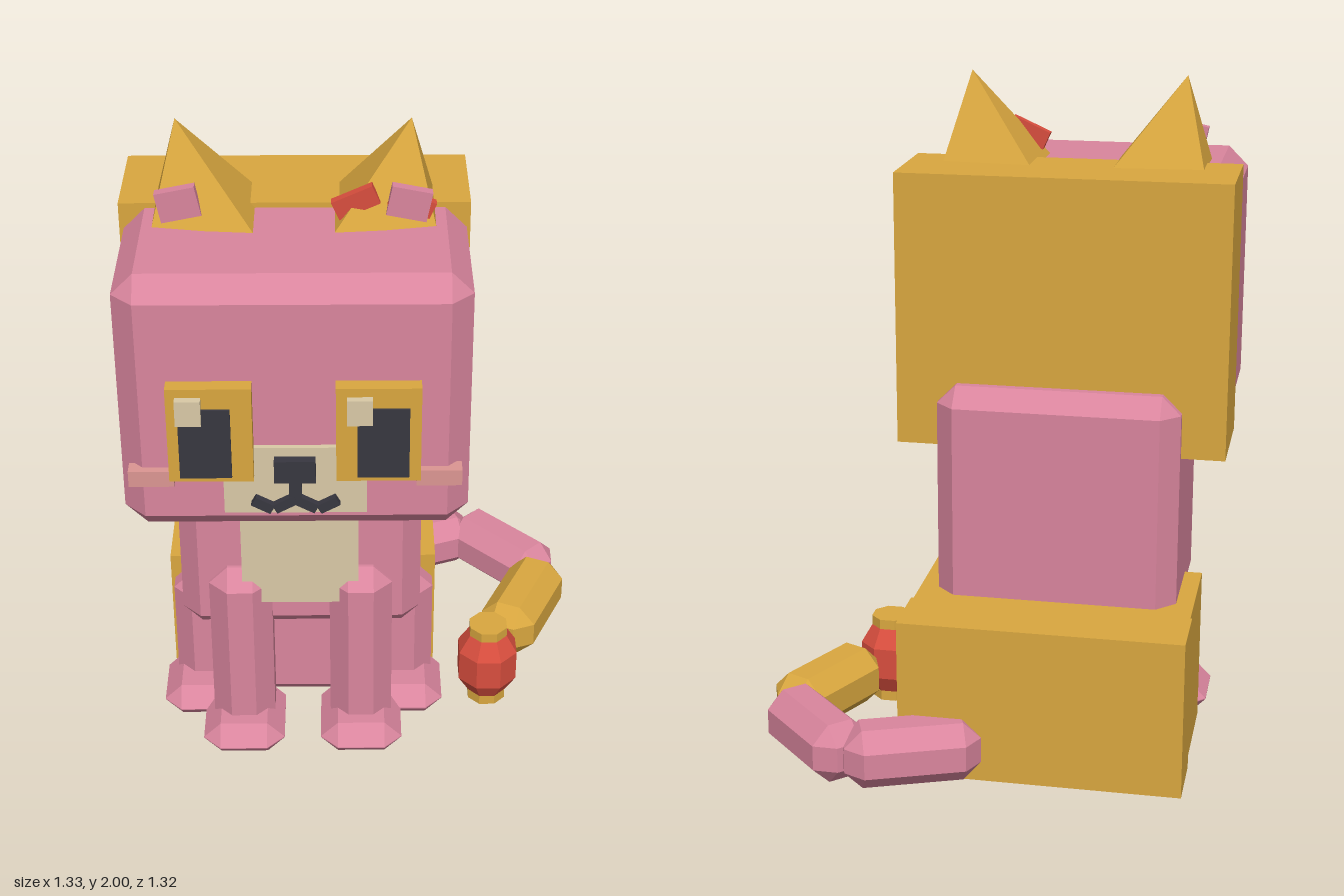
import * as THREE from 'three';
import { ConvexGeometry } from 'three/addons/geometries/ConvexGeometry.js';

const material = (name, color) => {
  const m = new THREE.MeshStandardMaterial({ color, flatShading: true });
  m.name = name;
  return m;
};

export function createModel() {
  const pink = material('pink fur', 0xd9859d);
  const gold = material('golden fur', 0xd9a73f);
  const cream = material('cream', 0xd9c9a6);
  const dark = material('charcoal', 0x383740);
  const blush = material('blush', 0xdc9692);
  const red = material('red', 0xd84e3e);

  const model = new THREE.Group();
  model.name = 'sittingCat';
  const MID = -0.19; // the cat's own plane of symmetry

  const add = (name, geometry, mat, x = 0, y = 0, z = 0) => {
    const mesh = new THREE.Mesh(geometry, mat);
    mesh.name = name;
    mesh.position.set(x, y, z);
    model.add(mesh);
    return mesh;
  };

  // Box given by its limits on each axis
  const box = (name, mat, [x0, x1], [y0, y1], [z0, z1]) =>
    add(name, new THREE.BoxGeometry(x1 - x0, y1 - y0, z1 - z0), mat,
      (x0 + x1) / 2, (y0 + y1) / 2, (z0 + z1) / 2);

  // Box with every edge cut off at 45 degrees
  const chamferGeometry = (w, h, d, c) => {
    const points = [];
    for (const sx of [-1, 1]) for (const sy of [-1, 1]) for (const sz of [-1, 1])
      for (let axis = 0; axis < 3; axis++) {
        const half = [w / 2, h / 2, d / 2].map((v, i) => (i === axis ? v : v - c));
        points.push(new THREE.Vector3(sx * half[0], sy * half[1], sz * half[2]));
      }
    return new ConvexGeometry(points);
  };
  const chamferBox = (name, mat, [x0, x1], [y0, y1], [z0, z1], c) =>
    add(name, chamferGeometry(x1 - x0, y1 - y0, z1 - z0, c), mat,
      (x0 + x1) / 2, (y0 + y1) / 2, (z0 + z1) / 2);

  // Head, body and hindquarters
  chamferBox('head', pink, [-0.66, 0.28], [0.965, 1.735], [0, 0.595], 0.06);
  box('headBack', gold, [-0.672, 0.29], [0.95, 1.75], [-0.163, 0.15]);
  chamferBox('body', pink, [-0.545, 0.165], [0.415, 1.14], [-0.242, 0.315], 0.055);
  box('chest', cream, [-0.36, -0.02], [0.55, 1.0], [0.28, 0.355]);
  chamferBox('haunches', pink, [-0.585, 0.21], [0.033, 0.485], [-0.43, 0.17], 0.055);
  box('hipCover', gold, [-0.597, 0.219], [0.042, 0.51], [-0.31, 0.065]);
  box('rumpCover', gold, [-0.603, 0.224], [0.04, 0.515], [-0.487, -0.296]);

  for (const side of [-1, 1]) {
    const label = side > 0 ? 'left' : 'right';
    const at = (offset) => MID + side * offset;
    const span = (a, b) => [at(a), at(b)].sort((p, q) => p - q);

    // Legs and paws
    chamferBox(label + 'FrontLeg', pink, span(0.085, 0.27), [0.06, 0.655], [0.18, 0.38], 0.055);
    chamferBox(label + 'FrontPaw', pink, span(0.055, 0.3), [0.033, 0.14], [0.17, 0.47], 0.052);
    chamferBox(label + 'HindPaw', pink, span(0.19, 0.43), [0.035, 0.142], [0.02, 0.29], 0.052);

    // Eye patch, cheek mark
    box(label + 'EyePatch', gold, span(0.11, 0.335), [1.165, 1.45], [0.58, 0.638]);
    box(label + 'CheekMark', blush, span(0.325, 0.447), [1.135, 1.183], [0.572, 0.617]);

    // Ear: a pyramid with its peak leaning outwards
    const ear = [[0.38, 1.745, 0.035], [0.11, 1.735, 0.01], [0.105, 1.73, 0.307],
      [0.38, 1.74, 0.277], [0.315, 2, 0.155]];
    add(label + 'Ear', new ConvexGeometry(
      ear.map(([x, y, z]) => new THREE.Vector3(at(x), y, z))), gold);
    add(label + 'InnerEar', new THREE.BoxGeometry(0.11, 0.085, 0.03), pink,
      at(0.308), 1.805, 0.265).rotation.z = -side * 0.2;

    // Mouth curve
    add(label + 'MouthInner', new THREE.BoxGeometry(0.065, 0.028, 0.025), dark,
      at(0.028), 1.083, 0.618).rotation.z = -side * 0.5;
    add(label + 'MouthOuter', new THREE.BoxGeometry(0.058, 0.028, 0.025), dark,
      at(0.088), 1.08, 0.618).rotation.z = side * 0.5;
  }

  // Pupils and glints both sit towards the same side
  for (const [label, x] of [['right', -0.426], ['left', 0.045]]) {
    box(label + 'Pupil', dark, [x - 0.069, x + 0.069], [1.18, 1.39], [0.63, 0.645]);
    const gx = x - 0.04 - (label === 'left' ? 0.022 : 0);
    box(label + 'EyeGlint', cream, [gx - 0.034, gx + 0.034], [1.35, 1.425], [0.63, 0.66]);
  }

  // Muzzle and nose
  box('muzzle', cream, [-0.383, 0.002], [1.045, 1.252], [0.57, 0.61]);
  box('nose', dark, [-0.246, -0.135], [1.157, 1.225], [0.6, 0.638]);
  box('mouthStem', dark, [-0.207, -0.173], [1.09, 1.16], [0.6, 0.63]);

  // Bow in front of the left ear
  add('bowInnerLoop', new THREE.BoxGeometry(0.12, 0.055, 0.028), red,
    -0.025, 1.805, 0.258).rotation.z = 0.42;
  add('bowOuterLoop', new THREE.BoxGeometry(0.12, 0.055, 0.028), red,
    0.125, 1.8, 0.256).rotation.z = -0.42;

  // Tail: three segments curling forwards
  const tail = [
    ['tailBase', pink, [-0.01, -0.455], [0.36, -0.597]],
    ['tailMiddle', pink, [0.338, -0.607], [0.605, -0.33]],
    ['tailTip', gold, [0.6, -0.342], [0.443, 0.0]],
  ];
  for (const [name, mat, a, b] of tail) {
    const dx = b[0] - a[0], dz = b[1] - a[1];
    add(name, chamferGeometry(0.18, 0.18, Math.hypot(dx, dz), 0.052), mat,
      (a[0] + b[0]) / 2, 0.14, (a[1] + b[1]) / 2).rotation.y = Math.atan2(dx, dz);
  }

  // Lantern hanging at the tail tip
  const lantern = [[0, 0.03], [0.06, 0.03], [0.097, 0.09], [0.097, 0.19], [0.06, 0.25], [0, 0.25]];
  add('lantern', new THREE.LatheGeometry(
    lantern.map(([r, y]) => new THREE.Vector2(r, y)), 8, Math.PI / 8), red, 0.388, 0, 0.11);
  for (const [name, y] of [['lanternFoot', 0.017], ['lanternCap', 0.262]])
    add(name, new THREE.CylinderGeometry(0.062, 0.062, 0.032, 8, 1, false, Math.PI / 8),
      gold, 0.388, y, 0.11);
  box('lanternHook', gold, [0.42, 0.445], [0.13, 0.155], [-0.01, 0.05]);

  return model;
}
